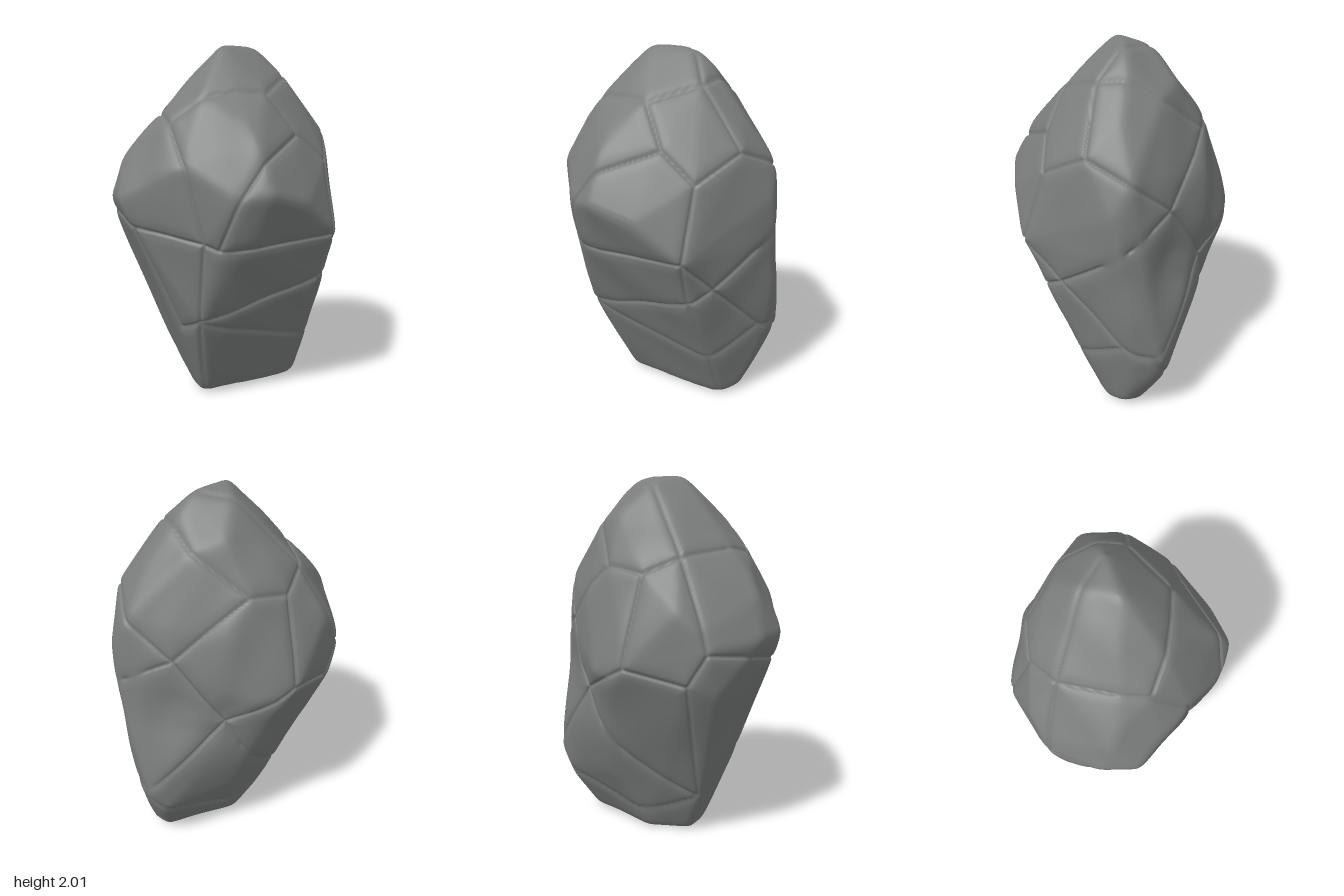
import * as THREE from 'three';
import { mergeVertices } from 'three/addons/utils/BufferGeometryUtils.js';
import { ConvexGeometry } from 'three/addons/geometries/ConvexGeometry.js';

// Corners where the cracks meet
const corners = {
  capFront: [0.1, 1.755, 0.265], capRight: [0.3, 1.84, 0.05], shoulder: [0.55, 1.53, 0.05],
  chestRight: [0.44, 1.39, 0.3], chestTop: [0.25, 1.54, 0.33], chestMid: [-0.02, 1.42, 0.53],
  chestLeft: [-0.17, 1.22, 0.55], waistLeft: [-0.23, 0.97, 0.44], waistRight: [0.45, 1.0, 0.42],
  hipRight: [0.49, 0.8, 0.2], beltRight: [0.42, 0.73, 0.32], beltLeft: [-0.29, 0.53, 0.29],
  legRight: [0.42, 0.34, 0.12], footRight: [0.42, 0, -0.01], footLeft: [-0.19, 0, 0.06],
  kneeRight: [0.54, 0.5, -0.14], kneeBack: [0.57, 0.44, -0.31], heelBack: [0.5, 0.28, -0.37],
  sideBack: [0.42, 1.23, -0.36], sideUpper: [0.6, 1.42, -0.2], capBack: [0.04, 1.55, -0.46],
  capBackRight: [0.27, 1.76, -0.28], capBackLeft: [-0.18, 1.53, -0.45], capLeftBack: [-0.32, 1.61, -0.31],
  capLeft: [-0.4, 1.6, 0.15], capFrontLeft: [-0.25, 1.735, 0.22], cheekLeft: [-0.39, 1.4, 0.36],
  waistFarLeft: [-0.3, 1.0, 0.4], sideLeft: [-0.6, 1.06, 0.12], kneeLeft: [-0.34, 0.47, 0.14],
  cornerLeft: [-0.55, 1.15, -0.38], ridgeLeft: [-0.46, 0.98, -0.43], ridgeMid: [-0.17, 1.06, -0.6],
  ridgeRight: [0.185, 0.88, -0.49], heelLeft: [-0.31, 0.25, -0.14], crown: [0, 1.97, -0.17],
};

// Crack lines, each a chain of corners
const cracks = [
  'capFront capRight capBackRight capBack capBackLeft capLeftBack capLeft capFrontLeft capFront',
  'capLeftBack crown capRight shoulder chestRight chestTop capFront',
  'chestTop chestMid chestLeft waistLeft waistRight chestRight',
  'waistRight hipRight sideBack sideUpper shoulder',
  'waistRight beltRight beltLeft legRight beltRight',
  'beltRight hipRight kneeRight legRight footRight',
  'kneeRight kneeBack ridgeRight sideBack capBack',
  'kneeBack heelBack heelLeft ridgeRight ridgeMid ridgeLeft heelLeft',
  'capBackLeft ridgeMid', 'capLeftBack cornerLeft ridgeLeft', 'cornerLeft sideLeft waistFarLeft',
  'capLeft cheekLeft waistFarLeft waistLeft', 'waistFarLeft beltLeft kneeLeft sideLeft',
  'beltLeft footLeft',
];

// Swellings between the cracks
const bulges = [
  [-0.06, 2, 0.02], [0.17, 1.99, -0.06], [0.25, 1.91, -0.1], [-0.25, 1.8, 0], [0, 1.8, 0.22],
  [0.1, 1.8, -0.33], [-0.05, 1.6, 0.41], [-0.03, 1.5, 0.49], [0, 1.27, 0.605], [-0.14, 1.25, 0.57],
  [0.22, 1.2, 0.53], [0.1, 1, 0.47], [0.655, 1.03, -0.15], [0.645, 1.26, -0.1], [0.625, 0.85, -0.14],
  [0.605, 0.6, -0.2], [0.44, 1.68, -0.1], [-0.665, 1.2, -0.08], [-0.66, 1.2, 0.09], [-0.61, 1.4, -0.05],
  [-0.53, 1.5, 0], [-0.52, 1.36, 0.2], [-0.1, 1, -0.605], [0.05, 1.02, -0.59], [0.2, 1.08, -0.53],
  [-0.5, 1.25, -0.4], [-0.55, 0.92, -0.3], [-0.4, 1.35, -0.45], [-0.1, 1.3, -0.54], [0.16, 1.35, -0.5],
  [0.48, 0.03, -0.12], [0.42, 0.02, -0.22], [0, 0, -0.21], [-0.2, 0, -0.08], [0.1, 0.4, -0.41],
  [0.1, 0.6, -0.48], [0.59, 0.4, -0.22], [0.58, 0.4, -0.36],
];

// Points where the back right side is pressed in
const hollowPoints = [corners.sideBack, corners.ridgeRight, [0.42, 0.9, -0.36]];

const centre = new THREE.Vector3(0.04, 1, -0.02);
const fromCentre = p => new THREE.Vector3(...p).sub(centre);

// Squared distance from p to the segment ab
function segmentDistanceSq(p, s) {
  const t = THREE.MathUtils.clamp((p.dot(s.ab) - s.a.dot(s.ab)) / s.ab.lengthSq(), 0, 1);
  const dx = p.x - s.a.x - s.ab.x * t, dy = p.y - s.a.y - s.ab.y * t, dz = p.z - s.a.z - s.ab.z * t;
  return dx * dx + dy * dy + dz * dz;
}

function boulderGeometry() {
  // Faceted core, kept as a list of planes
  const hull = new ConvexGeometry([...Object.values(corners), ...bulges].map(fromCentre));
  const hp = hull.attributes.position;
  const planes = [];
  for (let i = 0; i < hp.count; i += 3) {
    const tri = [0, 1, 2].map(k => new THREE.Vector3().fromBufferAttribute(hp, i + k));
    planes.push(new THREE.Plane().setFromCoplanarPoints(...tri));
  }
  const coreReach = d => {
    let r = 10;
    for (const { normal, constant } of planes) {
      const c = normal.dot(d);
      if (c > 1e-5) r = Math.min(r, -constant / c);
    }
    return r;
  };

  // Core with the hollows pressed in
  const hollows = hollowPoints.map(p => {
    const target = fromCentre(p), dir = target.clone().normalize(), r = coreReach(dir);
    return { at: dir.multiplyScalar(r), depth: r - target.length() };
  });
  const onCore = new THREE.Vector3();
  const reach = d => {
    const r = coreReach(d);
    onCore.copy(d).multiplyScalar(r);
    let sum = 0, weight = 0;
    for (const h of hollows) {
      const w = Math.exp(-onCore.distanceToSquared(h.at) / 0.035);
      sum += w * h.depth;
      weight += w;
    }
    return r - sum / Math.max(1, weight);
  };

  // Crack segments, pushed out to the surface
  const segments = [];
  for (const line of cracks) {
    const chain = line.split(' ').map(n => fromCentre(corners[n]));
    for (let i = 1; i < chain.length; i++) {
      const pts = Array.from({ length: 6 }, (_, k) => {
        const p = chain[i - 1].clone().lerp(chain[i], k / 5).normalize();
        return p.multiplyScalar(reach(p));
      });
      for (let k = 1; k < 6; k++) segments.push({ a: pts[k - 1], ab: pts[k].clone().sub(pts[k - 1]) });
    }
  }

  let geo = new THREE.IcosahedronGeometry(1, 80);
  geo.deleteAttribute('normal');
  geo.deleteAttribute('uv');
  geo = mergeVertices(geo, 1e-5);
  const pos = geo.attributes.position;
  const d = new THREE.Vector3(), u = new THREE.Vector3(), v = new THREE.Vector3(), q = new THREE.Vector3();
  for (let i = 0; i < pos.count; i++) {
    d.fromBufferAttribute(pos, i).normalize();
    u.set(-d.z, 0.3, d.x).cross(d).normalize();
    v.crossVectors(d, u);
    // Round the edges by averaging nearby directions
    const r0 = reach(d), spread = 0.04 / r0;
    let r = r0 * 2;
    for (let k = 0; k < 8; k++) {
      const a = k * Math.PI / 4, s = spread * (k % 2 ? 1 : 0.55);
      q.copy(d).addScaledVector(u, Math.cos(a) * s).addScaledVector(v, Math.sin(a) * s).normalize();
      r += reach(q);
    }
    r /= 10;
    // Gentle waviness
    q.copy(d).multiplyScalar(r0);
    r += 0.004 * Math.sin(9 * q.x + 4 * q.y) * Math.sin(8 * q.y - 5 * q.z + 1) + 0.003 * Math.sin(19 * q.z + 13 * q.x + 7 * q.y);
    // Narrow crack inside a softer dip
    let near = 1;
    for (const s of segments) near = Math.min(near, segmentDistanceSq(q, s));
    r += 0.007 - 0.007 * Math.exp(-near / 0.0012) - 0.012 * Math.exp(-near / 0.00007);
    pos.setXYZ(i, d.x * r, d.y * r, d.z * r);
  }

  // Stand it on the ground
  geo.computeBoundingBox();
  geo.translate(centre.x, -geo.boundingBox.min.y, centre.z);
  geo.computeVertexNormals();
  return geo;
}

export function createModel() {
  const group = new THREE.Group();
  group.name = 'boulder';
  const stone = new THREE.MeshStandardMaterial({ color: 0x7b7e7d });
  stone.name = 'grey stone';
  const rock = new THREE.Mesh(boulderGeometry(), stone);
  rock.name = 'crackedRock';
  group.add(rock);
  return group;
}
